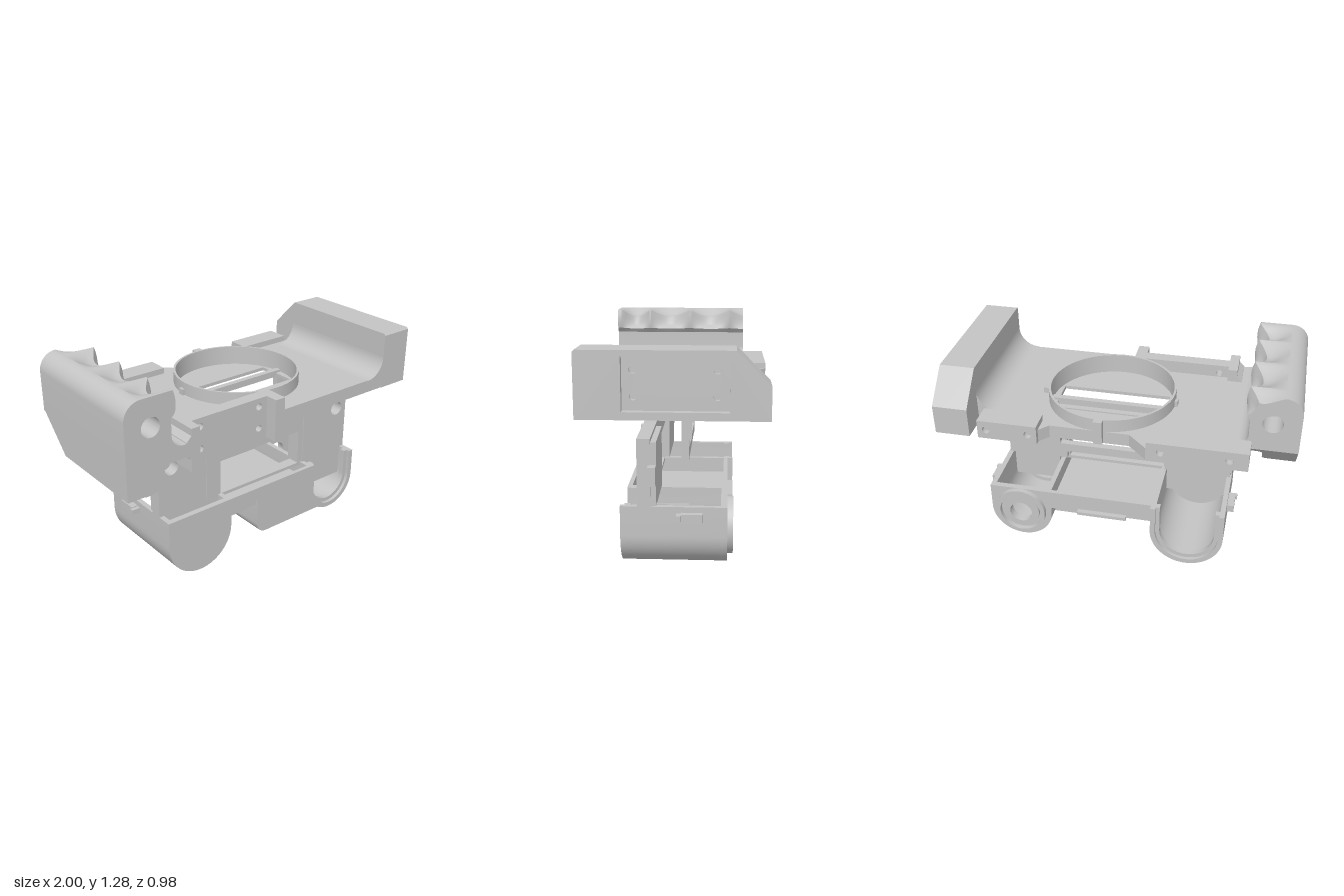
import * as THREE from 'three';
import { toCreasedNormals } from 'three/addons/utils/BufferGeometryUtils.js';

const grey = new THREE.MeshStandardMaterial({ color: 0xc4c4c4 });
grey.name = 'plain grey';

const poly = (pts) => new THREE.Shape(pts.map(([x, y]) => new THREE.Vector2(x, y)));
const circle = (x, y, r) => new THREE.Path().absarc(x, y, r, 0, Math.PI * 2, true);
const rect = (x0, y0, x1, y1) => poly([[x0, y0], [x1, y0], [x1, y1], [x0, y1]]);
const arc = (cx, cy, r, a0, a1, n = 16) => Array.from({ length: n + 1 }, (_, i) => {
  const a = (a0 + (a1 - a0) * i / n) * Math.PI / 180;
  return [cx + r * Math.cos(a), cy + r * Math.sin(a)];
});

export function createModel() {
  const model = new THREE.Group();
  const top = new THREE.Group();
  const base = new THREE.Group();
  top.name = 'topFrame';
  base.name = 'lowerBody';
  model.add(top, base);

  const add = (parent, name, geo) => {
    const mesh = new THREE.Mesh(toCreasedNormals(geo, 0.5), grey);
    mesh.name = name;
    parent.add(mesh);
  };
  // Box given by its two corners
  const box = (parent, name, x0, x1, y0, y1, z0, z1) => add(parent, name,
    new THREE.BoxGeometry(x1 - x0, y1 - y0, z1 - z0).translate((x0 + x1) / 2, (y0 + y1) / 2, (z0 + z1) / 2));
  const extrude = (shape, from, to, steps = 1) => new THREE.ExtrudeGeometry(shape,
    { depth: to - from, steps, bevelEnabled: false, curveSegments: 32 }).translate(0, 0, from);
  const alongX = (shape, from, to) => extrude(shape, from, to).rotateY(Math.PI / 2); // shape in (-z, y)
  const alongY = (shape, from, to) => extrude(shape, from, to).rotateX(-Math.PI / 2); // shape in (x, -z)
  const warp = (geo, rule) => {
    const p = geo.attributes.position;
    const v = new THREE.Vector3();
    for (let i = 0; i < p.count; i++) {
      rule(v.fromBufferAttribute(p, i));
      p.setXYZ(i, v.x, v.y, v.z);
    }
    return geo;
  };

  // ---- Top frame: plate with a round well, recessed underneath
  const cx = 0.08, cz = -0.015;
  const plate = () => poly([[-0.74, -0.48], [-0.61, -0.48], [-0.61, -0.34], [0.02, -0.34], [0.02, -0.48],
    [0.82, -0.48], [0.82, 0.31], [0.76, 0.31], [0.76, 0.44], [0.41, 0.44], [0.36, 0.385], [-0.09, 0.385],
    [-0.2, 0.46], [-0.2, 0.45], [-0.75, 0.45]]);
  const upperPlate = plate();
  upperPlate.holes.push(circle(cx, -cz, 0.357));
  add(top, 'plate', alongY(upperPlate, 0.925, 0.965));
  const middlePlate = plate();
  middlePlate.holes.push(rect(-0.24, -0.11, 0.4, 0.14));
  add(top, 'wellFloor', alongY(middlePlate, 0.905, 0.925));
  const lowerPlate = plate();
  lowerPlate.holes.push(rect(-0.58, -0.27, 0.74, 0.27));
  add(top, 'underside', alongY(lowerPlate, 0.89, 0.905));
  for (const x of [-0.53, 0.69]) for (const z of [-0.2, 0.2]) {
    add(top, 'boss', new THREE.CylinderGeometry(0.03, 0.03, 0.02, 20).translate(x, 0.9, z));
  }
  const ring = new THREE.Shape().absarc(cx, -cz, 0.37, 0, Math.PI * 2);
  ring.holes.push(circle(cx, -cz, 0.357));
  add(top, 'ring', alongY(ring, 0.91, 1.04));
  box(top, 'ringTab', 0.055, 0.105, 0.9, 1.04, -0.415, -0.375);
  box(top, 'ringTab', -0.305, -0.275, 0.9, 1.0, -0.055, -0.02);
  box(top, 'ringTab', 0.44, 0.485, 0.9, 1.0, -0.055, -0.02);

  // Raised rear blocks with screw holes in the back face
  for (const [x0, x1, zBack, zFront, holes] of [
    [-0.75, -0.2, -0.49, -0.36, [-0.65, -0.28]], [0.41, 0.75, -0.47, -0.34, [0.46, 0.7]]]) {
    box(top, 'rearBlock', x0, x1, 0.89, 1.0, zBack + 0.04, zFront);
    const face = rect(x0, 0.89, x1, 1.0);
    for (const x of holes) face.holes.push(circle(x, 0.945, 0.022));
    add(top, 'rearBlockFace', extrude(face, zBack, zBack + 0.04));
  }
  add(top, 'rearBlockEnd', alongY(poly([[-0.2, 0.49], [-0.2, 0.38], [-0.09, 0.385]]), 0.89, 0.965));

  // Front panel with screw holes and projecting end posts
  const panel = rect(-0.61, 0.79, 0.02, 1.04);
  for (const x of [-0.5, -0.1]) for (const y of [0.86, 0.99]) panel.holes.push(circle(x, y, 0.02));
  add(top, 'frontPanel', extrude(panel, 0.335, 0.41));
  box(top, 'panelPost', -0.61, -0.555, 0.79, 1.04, 0.295, 0.485);
  box(top, 'panelPost', -0.045, 0.02, 0.79, 1.04, 0.335, 0.485);
  add(top, 'panelGusset', extrude(poly([[-0.64, 0.89], [-0.61, 0.86], [-0.61, 1.0], [-0.64, 0.97]]), 0.295, 0.485));

  // Scalloped hand grip with a through hole
  const grip = poly([[-1, 0.95], [-0.6, 0.95], [-0.6, 0.965], [-0.66, 0.965], ...arc(-0.66, 1.035, 0.07, 260, 180, 8),
    [-0.73, 1.13], [-0.705, 1.16], [-0.7, 1.19], [-0.7, 1.22], [-0.705, 1.25], [-0.715, 1.28], [-0.74, 1.28],
    [-0.77, 1.28], [-0.81, 1.28], [-0.85, 1.28], ...arc(-0.9, 1.18, 0.1, 90, 180, 12)]);
  grip.holes.push(circle(-0.85, 1.12, 0.055));
  const clamp = THREE.MathUtils.clamp;
  const scoop = (z) => {
    const t = z > 0.267 ? (z - 0.267) / 0.19 : Math.abs(z / 0.267);
    return z > 0.457 ? 0 : Math.abs(Math.sin(Math.PI * t));
  };
  add(top, 'grip', warp(extrude(grip, -0.36, 0.485, 72), (v) => {
    const d = 0.06 * scoop(v.z) * clamp((v.x + 0.9) / 0.15, 0, 1) * clamp((v.y - 1.15) / 0.08, 0, 1);
    v.x -= d;
    v.y -= d * 0.8;
  }));
  // Lower half of the grip, sloped at the rear
  const gripFoot = poly([[-1, 0.75], [-0.84, 0.75], ...arc(-0.84, 0.78, 0.03, -70, 0, 5),
    ...arc(-0.78, 0.86, 0.03, 180, 90, 6), [-0.61, 0.89], [-0.61, 0.96], [-1, 0.96]]);
  add(top, 'gripFoot', warp(extrude(gripFoot, -0.36, 0.485), (v) => { v.z = Math.max(v.z, -0.15 - (v.y - 0.75)); }));

  // Tall end block with a recessed, drilled side
  const side = () => poly([[-0.485, 0.89], [0.47, 0.89], [0.47, 1.06], [0.3, 1.23], [-0.475, 1.23], [-0.485, 1.22]]);
  add(top, 'endBlock', alongX(side(), 0.8, 0.93));
  const drilled = side();
  for (const z of [0.2, -0.21]) for (const y of [1.0, 1.13]) drilled.holes.push(circle(-z, y, 0.019));
  add(top, 'recessFloor', alongX(drilled, 0.93, 0.96));
  const rim = side();
  rim.holes.push(rect(-0.255, 0.93, 0.27, 1.2));
  add(top, 'endBlockRim', alongX(rim, 0.96, 1));
  add(top, 'endFillet', extrude(poly([[0.81, 0.94], [0.81, 1.085], ...arc(0.68, 1.085, 0.12, 0, -90, 12), [0.68, 0.94]]),
    -0.31, 0.485));

  // Hanging U-shaped bracket under the ring
  for (const [x0, x1] of [[-0.31, -0.235], [0.405, 0.485]]) {
    box(top, 'bracketLeg', x0, x1, 0.55, 0.91, -0.05, -0.01);
    box(top, 'bracketLegRib', x0 + 0.02, x1 - 0.02, 0.67, 0.91, -0.065, -0.05);
  }
  box(top, 'bracketBar', -0.31, 0.485, 0.555, 0.61, -0.05, -0.01);
  box(top, 'crossBar', -0.28, 0.45, 0.9, 0.94, -0.055, -0.02);

  // ---- Lower body: two round-bottomed troughs
  const uLine = (x, r, y, t) => [[x - r, t], ...arc(x, y, r, 180, 360, 32), [x + r, t]];
  const trough = (x, r, y, wall) =>
    poly([...uLine(x, r, y, 0.39), ...uLine(x, r - wall, y, 0.39).reverse()]);
  const A = [-0.42, 0.22, 0.22], B = [0.61, 0.19, 0.23];
  add(base, 'trough', extrude(trough(...A, 0.03), -0.295, 0.295));
  add(base, 'troughRim', extrude(trough(...A, 0.055), -0.275, -0.24));
  add(base, 'troughCap', extrude(poly(uLine(...A, 0.39)), 0.26, 0.295));
  add(base, 'trough', extrude(trough(...B, 0.03), -0.265, 0.295));
  add(base, 'troughRim', extrude(trough(...B, 0.055), 0.24, 0.275));
  const cap = poly(uLine(...B, 0.39));
  cap.holes.push(circle(0.61, 0.22, 0.07));
  add(base, 'troughCap', extrude(cap, -0.265, -0.23));
  // Stepped round hub at the rear
  for (const [r, inner, z] of [[0.155, 0.13, -0.295], [0.115, 0.07, -0.285]]) {
    const hub = new THREE.Shape().absarc(0.61, 0.235, r, 0, Math.PI * 2);
    hub.holes.push(circle(0.61, 0.225, inner));
    add(base, 'hub', extrude(hub, z, -0.25));
  }

  // Middle floor, walls and the box beneath
  box(base, 'floor', -0.21, 0.45, 0.27, 0.3, -0.26, 0.28);
  box(base, 'frontWall', -0.21, 0.465, 0.31, 0.39, 0.27, 0.295);
  box(base, 'rearWall', -0.21, 0.45, 0.27, 0.39, -0.265, -0.24);
  box(base, 'gapBlock', -0.21, 0.01, 0.2, 0.29, -0.1, 0.2);
  add(base, 'middleBox', extrude(poly([...arc(0.07, 0.14, 0.07, 180, 270, 8), [0.57, 0.07], [0.47, 0.15],
    [0.465, 0.295], [0, 0.295]]), -0.05, 0.295));
  box(base, 'frontWallFoot', 0, 0.465, 0.28, 0.32, 0.27, 0.295);
  box(base, 'rearShelf', -0.05, 0.25, 0.27, 0.29, -0.295, -0.25);

  // Upright front wall with a window
  const wall = poly([[-0.64, 0.39], [-0.61, 0.39], [-0.61, 0.22], [-0.23, 0.22], [-0.23, 0.37], [0.47, 0.37],
    [0.47, 0.2], [0.77, 0.2], [0.77, 0.39], [0.8, 0.39], [0.8, 0.75], [-0.64, 0.75]]);
  wall.holes.push(rect(-0.21, 0.39, 0.4, 0.61));
  for (const x of [-0.55, 0.72]) wall.holes.push(circle(x, 0.675, 0.044));
  add(base, 'uprightWall', extrude(wall, 0.135, 0.205));
  box(base, 'wallBacking', -0.63, -0.22, 0.39, 0.73, 0.105, 0.135);
  box(base, 'wallBacking', 0.41, 0.79, 0.39, 0.73, 0.105, 0.135);
  box(base, 'wallStrip', -0.315, -0.27, 0.39, 0.75, 0.2, 0.213);
  box(base, 'wallStrip', 0.435, 0.48, 0.39, 0.75, 0.2, 0.213);

  // Side lugs on both ends
  for (const [x0, x1] of [[-0.69, -0.63], [0.79, 0.845]]) {
    box(base, 'upperLug', x0, x1, 0.51, 0.61, 0.105, 0.147);
    box(base, 'lowerLug', x0 + 0.01, x1 - 0.01, 0.315, 0.36, -0.135, -0.025);
    box(base, 'lugTip', x0, x1, 0.325, 0.355, -0.025, 0);
  }
  return model;
}
